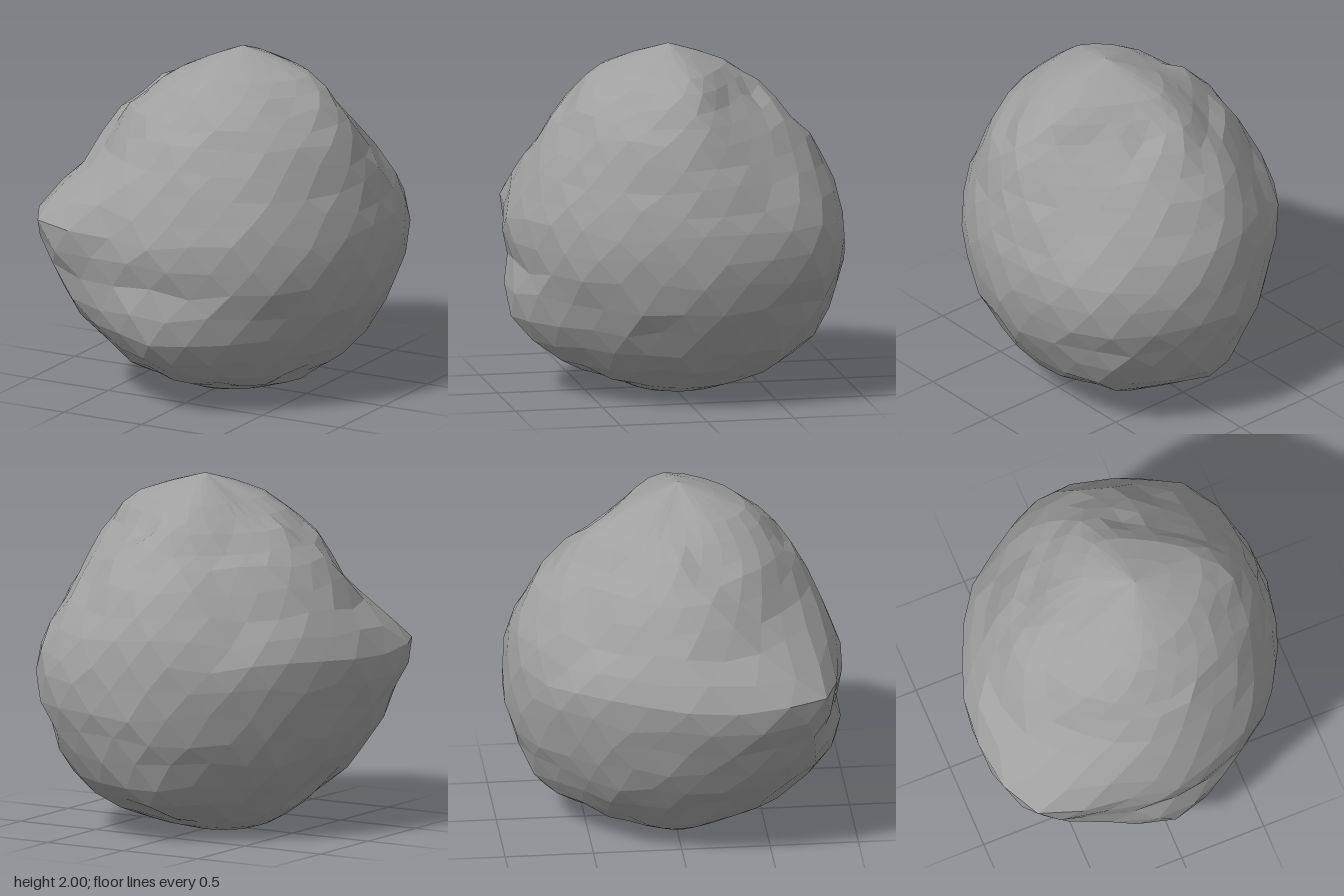
import * as THREE from 'three';

// Height, then the reach of the boulder in eight directions:
// +x, front-left, front, front-right, -x, back-right, back, back-left
const RINGS = [
  [0.00, 0.14, 0.16, 0.17, 0.20, 0.20, 0.17, 0.15, 0.15],
  [0.08, 0.46, 0.39, 0.36, 0.38, 0.40, 0.38, 0.38, 0.45],
  [0.22, 0.64, 0.64, 0.70, 0.62, 0.54, 0.58, 0.73, 0.71],
  [0.46, 0.82, 0.81, 0.92, 0.87, 0.73, 0.74, 0.87, 0.92],
  [0.75, 0.93, 0.91, 0.94, 1.03, 0.86, 0.83, 0.95, 1.03],
  [1.03, 0.935, 0.92, 0.945, 1.12, 0.93, 0.86, 0.94, 1.02],
  [1.30, 0.88, 0.85, 0.84, 0.85, 0.78, 0.73, 0.86, 0.86],
  [1.55, 0.80, 0.75, 0.70, 0.65, 0.62, 0.56, 0.68, 0.67],
  [1.72, 0.70, 0.61, 0.57, 0.50, 0.43, 0.38, 0.50, 0.47],
  [1.87, 0.52, 0.45, 0.41, 0.28, 0.16, 0.20, 0.30, 0.33],
];
const APEX = new THREE.Vector3(0.11, 2, 0.04);

// Weathered hollows: centre, width, height, depth
const DENTS = [
  { at: [0.08, 0.76, 0.93], w: 0.34, h: 0.14, depth: 0.035 },
  { at: [-0.42, 0.88, 0.92], w: 0.34, h: 0.5, depth: 0.06 },
  { at: [-0.9, 0.95, -0.22], w: 0.35, h: 0.5, depth: 0.03 },
  { at: [0.62, 0.66, 0.62], w: 0.3, h: 0.1, depth: 0.03 },
  { at: [0.72, 0.62, -0.6], w: 0.32, h: 0.13, depth: 0.04 },
  { at: [-0.5, 1.36, 0.55], w: 0.28, h: 0.16, depth: 0.05 },
  { at: [0.35, 1.56, 0.62], w: 0.2, h: 0.1, depth: 0.03 },
];

const SEGMENTS = 24;
const ROWS = 22;

function seededRandom(seed) {
  return () => {
    seed = (seed * 16807) % 2147483647;
    return seed / 2147483647;
  };
}

function dent(p) {
  for (const { at, w, h, depth } of DENTS) {
    const d = Math.hypot((p.x - at[0]) / w, (p.y - at[1]) / h, (p.z - at[2]) / w);
    if (d < 1) {
      const k = 1 - depth * (1 - d * d);
      p.x *= k;
      p.z *= k;
    }
  }
}

function createBoulderGeometry() {
  const random = seededRandom(37);

  // Closed outlines through the eight reaches of every ring
  const outlines = RINGS.map(([y, ...reach]) => new THREE.CatmullRomCurve3(
    reach.map((r, i) => {
      const a = (i / 8) * Math.PI * 2;
      return new THREE.Vector3(Math.cos(a) * r, y, Math.sin(a) * r);
    }), true));

  // Meridians join the outlines from base to apex, staggered row by row
  const base = new THREE.Vector3(0, 0, 0);
  const meridians = Array.from({ length: SEGMENTS * 2 }, (_, i) =>
    new THREE.CatmullRomCurve3([
      base,
      ...outlines.map((o) => o.getPoint(i / (SEGMENTS * 2))),
      APEX,
    ]));

  const positions = [];
  for (let j = 0; j <= ROWS; j++) {
    for (let i = 0; i < SEGMENTS; i++) {
      const p = meridians[i * 2 + (j % 2)].getPoint(j / ROWS);
      if (j > 4 && j < ROWS - 3) {
        // Slight irregularity of the chipped faces
        const k = 1 + (random() - 0.5) * 0.012;
        p.x *= k;
        p.z *= k;
        p.y += (random() - 0.5) * 0.05;
        dent(p);
      }
      positions.push(p.x, THREE.MathUtils.clamp(p.y, 0, 2), p.z);
    }
  }

  const indices = [];
  for (let j = 0; j < ROWS; j++) {
    for (let i = 0; i < SEGMENTS; i++) {
      const n = (i + 1) % SEGMENTS;
      const a = j * SEGMENTS + i;
      const b = j * SEGMENTS + n;
      const c = a + SEGMENTS;
      const d = b + SEGMENTS;
      const faces = j % 2 === 0 ? [[a, c, b], [b, c, d]] : [[a, d, b], [a, c, d]];
      faces.forEach((face, k) => {
        // Skip the faces that vanish at the two poles
        if (j === 0 && k === 0) return;
        if (j === ROWS - 1 && k === 1) return;
        indices.push(...face);
      });
    }
  }

  const indexed = new THREE.BufferGeometry();
  indexed.setAttribute('position', new THREE.Float32BufferAttribute(positions, 3));
  indexed.setIndex(indices);
  const geometry = indexed.toNonIndexed();
  geometry.computeVertexNormals();
  return geometry;
}

export function createModel() {
  const stone = new THREE.MeshStandardMaterial({ color: 0xa0a0a0, flatShading: true });
  stone.name = 'grey stone';

  const boulder = new THREE.Mesh(createBoulderGeometry(), stone);
  boulder.name = 'boulder';

  const group = new THREE.Group();
  group.name = 'rock';
  group.add(boulder);
  return group;
}
